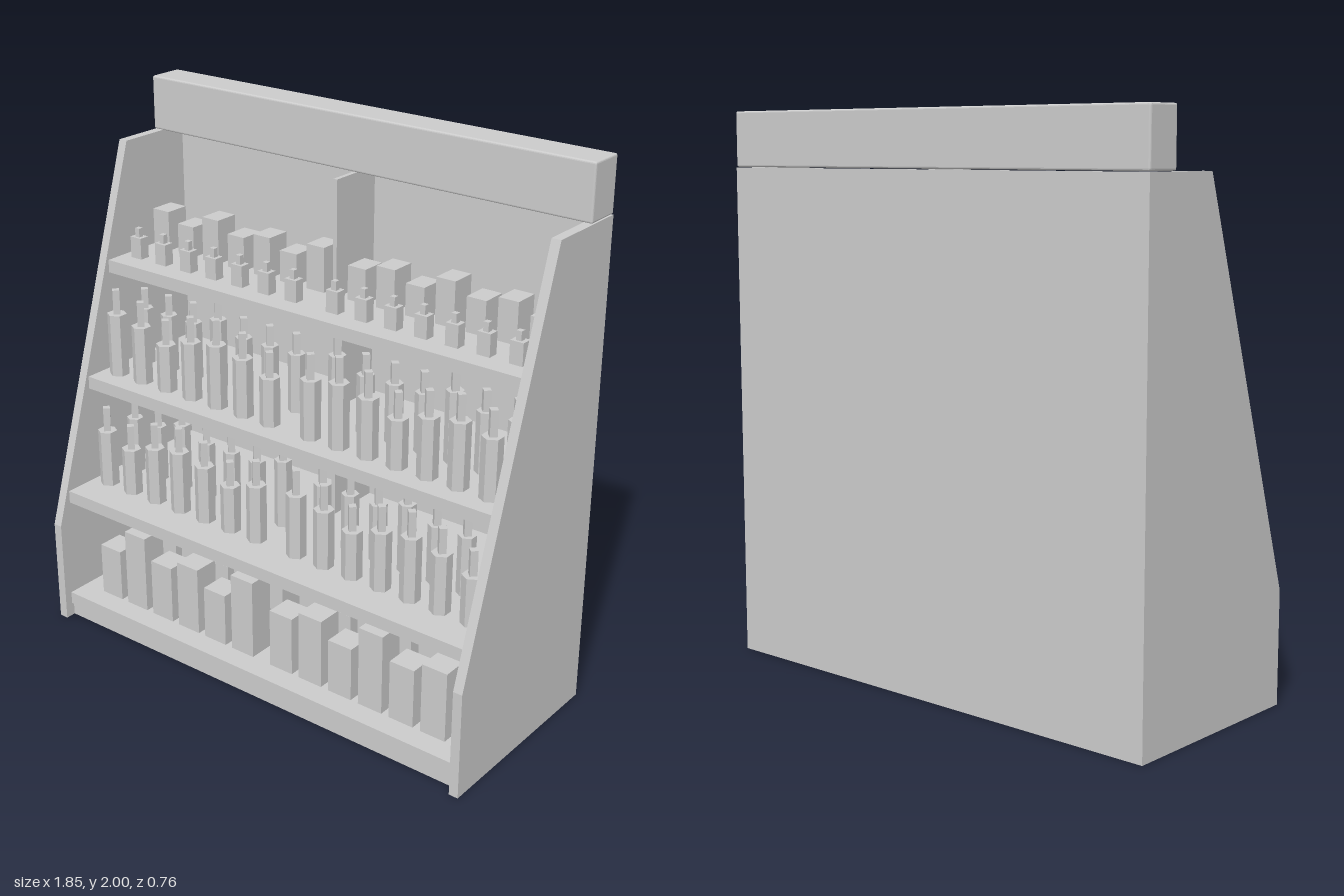
import * as THREE from 'three';
import { RoundedBoxGeometry } from 'three/addons/geometries/RoundedBoxGeometry.js';

const material = new THREE.MeshStandardMaterial({ color: 0xcccccc, flatShading: true });

function add(parent, name, geometry, x, y, z) {
  const mesh = new THREE.Mesh(geometry, material);
  mesh.name = name;
  mesh.position.set(x, y, z);
  parent.add(mesh);
  return mesh;
}

// Box given by its x centre and width, and its y and z limits
function box(parent, name, x, width, y0, y1, z0, z1) {
  return add(parent, name, new THREE.BoxGeometry(width, y1 - y0, z1 - z0),
    x, (y0 + y1) / 2, (z0 + z1) / 2);
}

// Column centres: two mirrored-pitch banks either side of the divider
function columns(perSide, pitch, first = 0.09) {
  const xs = [];
  for (let i = perSide - 1; i >= 0; i--) xs.push(-first - 0.003 - i * pitch);
  for (let i = 0; i < perSide; i++) xs.push(first - 0.003 + i * pitch);
  return xs;
}

// Six-sided bottle with a slim four-sided cap
function bottle(parent, x, y, z, bodyHeight, radius, capHeight) {
  const group = new THREE.Group();
  group.name = 'bottle';
  group.position.set(x, y, z);
  add(group, 'bottleBody', new THREE.CylinderGeometry(radius, radius, bodyHeight, 6), 0, bodyHeight / 2, 0);
  add(group, 'bottleCap', new THREE.CylinderGeometry(0.018, 0.018, capHeight, 4), 0, bodyHeight + capHeight / 2, 0);
  parent.add(group);
}

export function createModel() {
  const model = new THREE.Group();
  model.name = 'displayStand';

  // Sloping side panels
  const profile = new THREE.Shape([
    [0.38, 0], [0.38, 1.8], [0.06, 1.8], [-0.385, 0.4], [-0.385, 0],
  ].map(([a, b]) => new THREE.Vector2(a, b)));
  for (const side of [-1, 1]) {
    const geometry = new THREE.ExtrudeGeometry(profile, { depth: 0.035, bevelEnabled: false });
    geometry.rotateY(Math.PI / 2);
    add(model, side > 0 ? 'leftPanel' : 'rightPanel', geometry, side > 0 ? 0.89 : -0.925, 0, 0);
  }

  // Back, plinth, divider and header
  box(model, 'backPanel', 0, 1.78, 0, 1.8, -0.38, -0.36);
  box(model, 'plinth', 0, 1.78, 0, 0.05, -0.36, 0.345);
  box(model, 'divider', 0, 0.016, 0.1, 1.8, -0.36, -0.145);
  add(model, 'header', new RoundedBoxGeometry(1.85, 0.198, 0.135, 2, 0.007), 0, 1.901, -0.3125);

  // Shelves, deeper towards the floor
  const shelves = [[0.1, 0.355], [0.53, 0.332], [0.955, 0.197], [1.377, 0.062]];
  shelves.forEach(([top, front]) => box(model, 'shelf', 0, 1.78, top - 0.048, top, -0.36, front));

  // Cartons on the lowest shelf, two rows
  const cartonHeights = [[0.205, 0.305, 0.225, 0.265], [0.265, 0.225, 0.305, 0.205]];
  columns(6, 0.131).forEach((x, i) => {
    box(model, 'carton', x, 0.1, 0.1, 0.1 + cartonHeights[0][i % 4], 0.17, 0.27);
    box(model, 'rearCarton', x, 0.1, 0.1, 0.1 + cartonHeights[1][i % 4], 0.0, 0.1);
  });

  // Bottles on the two middle shelves, two rows each
  const bodies = [0.24, 0.22, 0.18, 0.22];
  const rearBodies = [0.22, 0.22, 0.22, 0.26];
  const xs = columns(7, 0.1215);
  [[0.53, 0.18, 1], [0.955, 0.1, 0]].forEach(([y, z, shift]) => {
    xs.forEach((x, i) => {
      const k = (i + shift) % 4;
      bottle(model, x, y, z, bodies[k], 0.037, 0.093);
      bottle(model, x, y, z - 0.15, rearBodies[k], 0.032, 0.075);
    });
  });

  // Small bottles with boxes behind them on the top shelf
  const boxHeights = [0.15, 0.115, 0.165, 0.125];
  xs.forEach((x, i) => {
    box(model, 'smallBottleBody', x, 0.05, 1.377, 1.457, -0.055, -0.015);
    box(model, 'smallBottleCap', x, 0.02, 1.457, 1.49, -0.045, -0.025);
    box(model, 'boxedProduct', x, 0.076, 1.377, 1.377 + boxHeights[i % 4], -0.25, -0.155);
  });

  return model;
}
